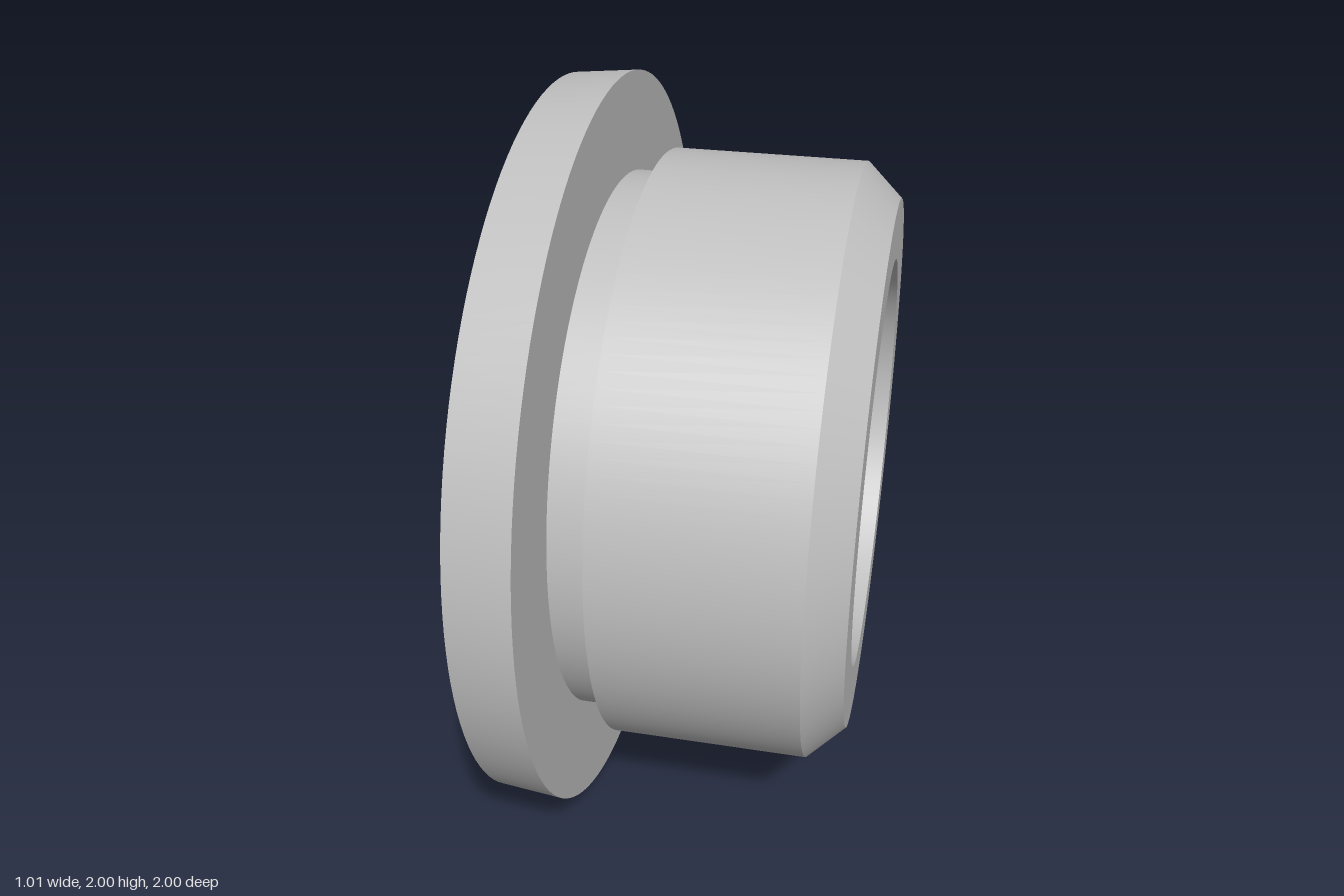
import * as THREE from 'three';

const SEG = 128;
const EDGE_R = 0.985, EDGE_H = -0.37, APEX_H = -0.505, SLOT_FLOOR = -0.3;

// Joins closed rows of equally many points into a smooth skin.
function skin(rows) {
  const n = rows[0].length, pos = [], index = [];
  rows.forEach(row => row.forEach(p => pos.push(p.x, p.y, p.z)));
  for (let k = 0; k < rows.length - 1; k++) {
    for (let i = 0; i < n; i++) {
      const j = (i + 1) % n;
      const a = k * n + i, b = (k + 1) * n + i, c = (k + 1) * n + j, d = k * n + j;
      index.push(a, b, c, a, c, d);
    }
  }
  const geo = new THREE.BufferGeometry();
  geo.setAttribute('position', new THREE.Float32BufferAttribute(pos, 3));
  geo.setIndex(index);
  geo.computeVertexNormals();
  return geo;
}

// Height of the spherical cap at distance r from the axis.
function domeHeight(r) {
  const sag = EDGE_H - APEX_H;
  const R = (EDGE_R * EDGE_R + sag * sag) / (2 * sag);
  return APEX_H + R - Math.sqrt(R * R - r * r);
}

// Rounded rectangular outline of the screwdriver slot.
function slotOutline() {
  const h = 0.52, w = 0.1, r = 0.045, q = Math.PI / 2;
  const s = new THREE.Shape();
  s.moveTo(h, 0);
  s.absarc(h - r, w - r, r, 0, q);
  s.absarc(r - h, w - r, r, q, 2 * q);
  s.absarc(r - h, r - w, r, 2 * q, 3 * q);
  s.absarc(h - r, r - w, r, 3 * q, 4 * q);
  s.closePath();
  return s.getSpacedPoints(SEG).slice(0, SEG);
}

export function createModel() {
  const model = new THREE.Group();
  const plug = new THREE.Group();
  plug.name = 'plug';
  const grey = new THREE.MeshStandardMaterial({ color: 0xc0c0c0 });
  grey.name = 'grey';

  const add = (name, geo) => {
    const mesh = new THREE.Mesh(geo, grey);
    mesh.name = name;
    plug.add(mesh);
  };

  // Turned surfaces, one per profile segment so that every edge stays sharp
  const profile = [
    [EDGE_R, EDGE_H], [1, -0.205], [0.74, -0.205], [0.74, -0.1], [0.805, -0.1],
    [0.805, 0.41], [0.715, 0.505], [0.555, 0.505], [0.555, -0.2], [0, -0.2],
  ];
  const names = ['flangeRim', 'flangeBack', 'neck', 'bodyShoulder', 'body',
    'chamfer', 'endFace', 'bore', 'boreFloor'];
  names.forEach((name, i) => {
    const pts = [profile[i], profile[i + 1]].map(p => new THREE.Vector2(...p));
    add(name, new THREE.LatheGeometry(pts, SEG));
  });

  // Domed head, blending from the slot outline to the round edge
  const outline = slotOutline();
  const steps = 14, domeRows = [];
  for (let k = 0; k <= steps; k++) {
    const t = k / steps;
    domeRows.push(outline.map((p, i) => {
      const a = (i / SEG) * Math.PI * 2;
      const x = THREE.MathUtils.lerp(p.x, EDGE_R * Math.cos(a), t);
      const z = THREE.MathUtils.lerp(p.y, EDGE_R * Math.sin(a), t);
      return new THREE.Vector3(x, domeHeight(Math.min(EDGE_R, Math.hypot(x, z))), z);
    }));
  }
  add('domedHead', skin(domeRows));

  // Slot walls and floor
  const floorRow = outline.map(p => new THREE.Vector3(p.x, SLOT_FLOOR, p.y));
  const centreRow = outline.map(() => new THREE.Vector3(0, SLOT_FLOOR, 0));
  add('slotWall', skin([floorRow, domeRows[0]]));
  add('slotFloor', skin([centreRow, floorRow]));

  // Lay the turning axis along x
  plug.rotation.z = -Math.PI / 2;
  plug.position.y = 1;
  model.add(plug);
  return model;
}
